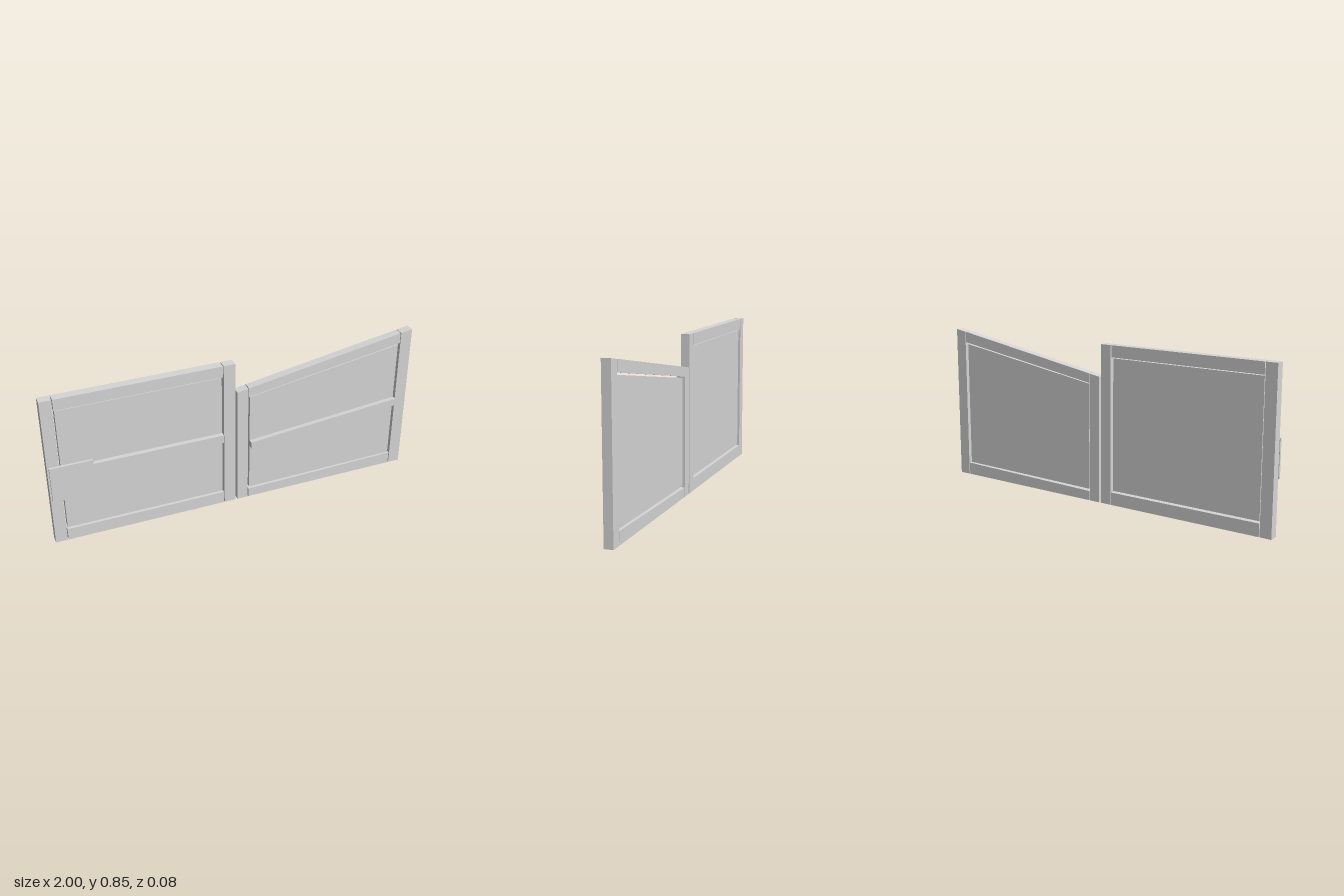
import * as THREE from 'three';

const metal = new THREE.MeshStandardMaterial({ color: 0xd6d6d6 });
metal.name = 'light grey metal';

// Upright slab with vertical ends; each end has its own bottom and top height
function slab(name, [x0, x1], [bottom0, top0], [bottom1, top1], [z0, z1]) {
  const shape = new THREE.Shape([
    new THREE.Vector2(x0, bottom0), new THREE.Vector2(x1, bottom1),
    new THREE.Vector2(x1, top1), new THREE.Vector2(x0, top0),
  ]);
  const geometry = new THREE.ExtrudeGeometry(shape, { depth: z1 - z0, bevelEnabled: false });
  geometry.translate(0, 0, z0);
  const mesh = new THREE.Mesh(geometry, metal);
  mesh.name = name;
  return mesh;
}

const FRAME_Z = [-0.039, 0.008];
const PANEL_Z = [-0.029, 0.002];
const BAR_Z = [0.002, 0.027];
const PLATE_Z = [0.027, 0.04];

export function createModel() {
  const model = new THREE.Group();
  model.name = 'doubleGate';

  // Square leaf, with fine seams between stiles and rails
  const square = new THREE.Group();
  square.name = 'squareLeaf';
  const level = (name, xs, ys, zs) => square.add(slab(name, xs, ys, ys, zs));
  level('outerStile', [-1, -0.938], [0, 0.845], FRAME_Z);
  level('innerStile', [-0.07, -0.008], [0, 0.845], FRAME_Z);
  level('topRail', [-0.934, -0.074], [0.783, 0.845], FRAME_Z);
  level('bottomRail', [-0.934, -0.074], [0, 0.068], FRAME_Z);
  level('panel', [-0.93, -0.079], [0.076, 0.777], PANEL_Z);
  level('crossBar', [-0.93, -0.079], [0.4, 0.447], BAR_Z);
  level('lockPlate', [-0.994, -0.773], [0.28, 0.48], PLATE_Z);

  // Leaf with a sloping top
  const sloped = new THREE.Group();
  sloped.name = 'slopedLeaf';
  sloped.add(
    slab('innerStile', [0.004, 0.064], [0, 0.675], [0, 0.685], FRAME_Z),
    slab('outerStile', [0.936, 1], [0.003, 0.834], [0.003, 0.845], FRAME_Z),
    slab('topRail', [0.068, 0.932], [0.636, 0.686], [0.775, 0.834], FRAME_Z),
    slab('bottomRail', [0.068, 0.932], [0, 0.051], [0.003, 0.07], FRAME_Z),
    slab('panel', [0.075, 0.926], [0.06, 0.629], [0.074, 0.764], PANEL_Z),
    slab('crossBar', [0.075, 0.926], [0.327, 0.363], [0.398, 0.441], BAR_Z),
  );

  model.add(square, sloped);
  return model;
}
